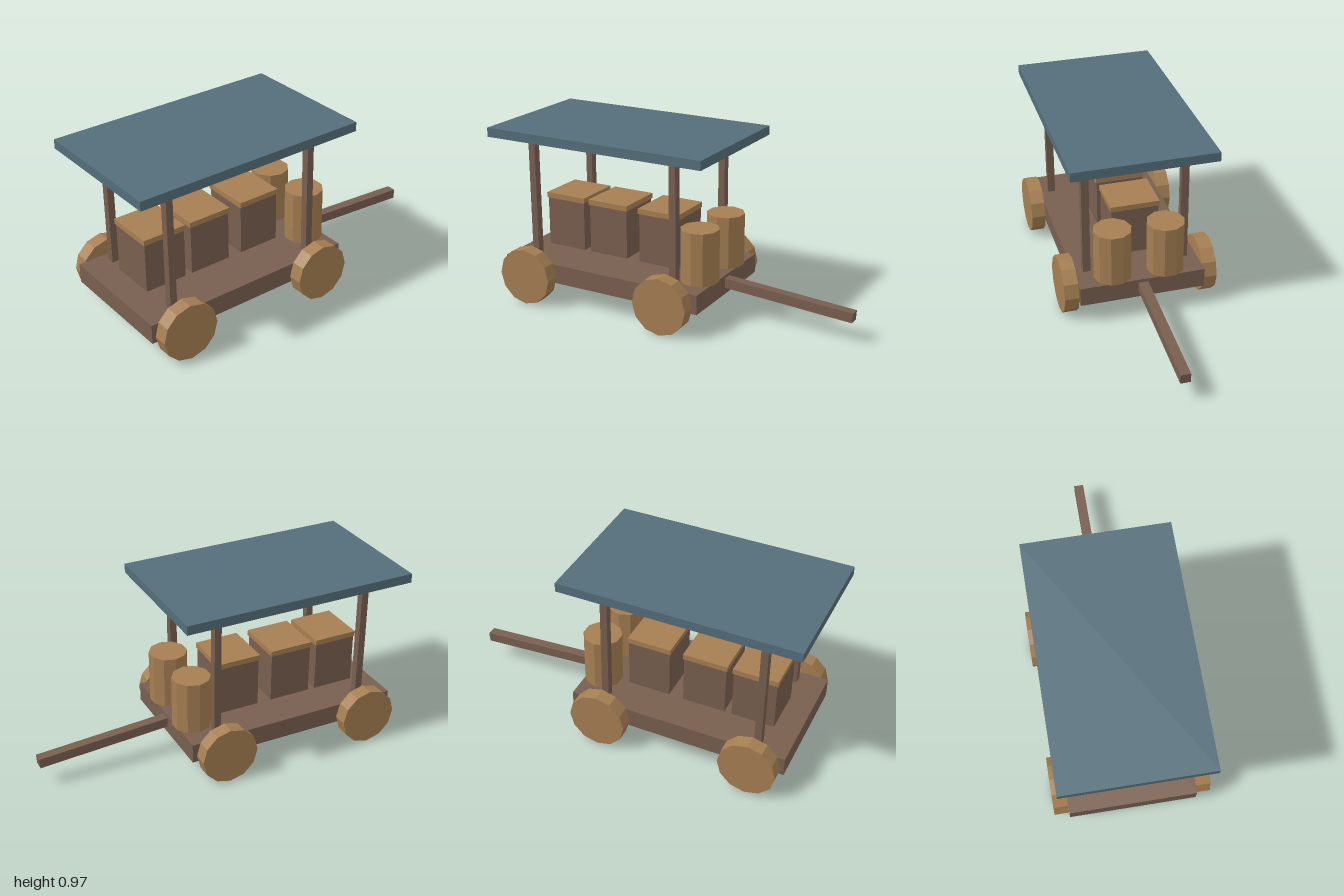
import * as THREE from 'three';

export function createModel() {
  const cart = new THREE.Group();
  cart.name = 'coveredCart';
  const mat = (color) => {
    const m = new THREE.MeshStandardMaterial({ color, flatShading: true });
    return m;
  };
  const wood = mat(0x785f4f), lightWood = mat(0xa67f52), cloth = mat(0x546e7a);

  const add = (name, geometry, material, x, y, z, parent = cart) => {
    const mesh = new THREE.Mesh(geometry, material);
    mesh.name = name;
    mesh.position.set(x, y, z);
    parent.add(mesh);
    return mesh;
  };
  const box = (w, h, d) => new THREE.BoxGeometry(w, h, d);

  // Bed and canopy
  add('bed', box(1.216, 0.108, 0.692), wood, -0.342, 0.178, 0);
  add('canopy', box(1.312, 0.051, 0.786), cloth, -0.344, 0.946, 0);

  // Wheels, with a corner pointing straight down
  const wheel = new THREE.CylinderGeometry(0.159, 0.159, 0.079, 12).rotateX(Math.PI / 2);
  for (const x of [-0.772, 0.083])
    for (const s of [-1, 1]) add('wheel', wheel, lightWood, x, 0.159, s * 0.387);

  // Canopy posts
  const post = box(0.039, 0.669, 0.042);
  for (const x of [-0.782, 0.094])
    for (const s of [-1, 1]) add('post', post, wood, x, 0.5645, s * 0.274);

  // Lidded crates in a row
  const crateBody = box(0.238, 0.277, 0.263), crateLid = box(0.249, 0.03, 0.275);
  for (const x of [-0.7, -0.421, -0.101]) {
    const crate = new THREE.Group();
    crate.name = 'crate';
    crate.position.set(x, 0, -0.024);
    add('crateBody', crateBody, wood, 0, 0.3865, 0, crate);
    add('crateLid', crateLid, lightWood, 0, 0.54, 0, crate);
    cart.add(crate);
  }

  // Pair of barrels
  const barrel = new THREE.CylinderGeometry(0.105, 0.105, 0.293, 10);
  for (const s of [-1, 1]) add('barrel', barrel, lightWood, 0.178, 0.3785, s * 0.147);

  // Sloping draw bar
  const slope = Math.atan(0.064), length = 0.75;
  const bar = add('drawBar', box(length, 0.054, 0.054), wood,
    0.998 - (length / 2) * Math.cos(slope), 0.141 + (length / 2) * Math.sin(slope), 0);
  bar.rotation.z = -slope;

  return cart;
}
